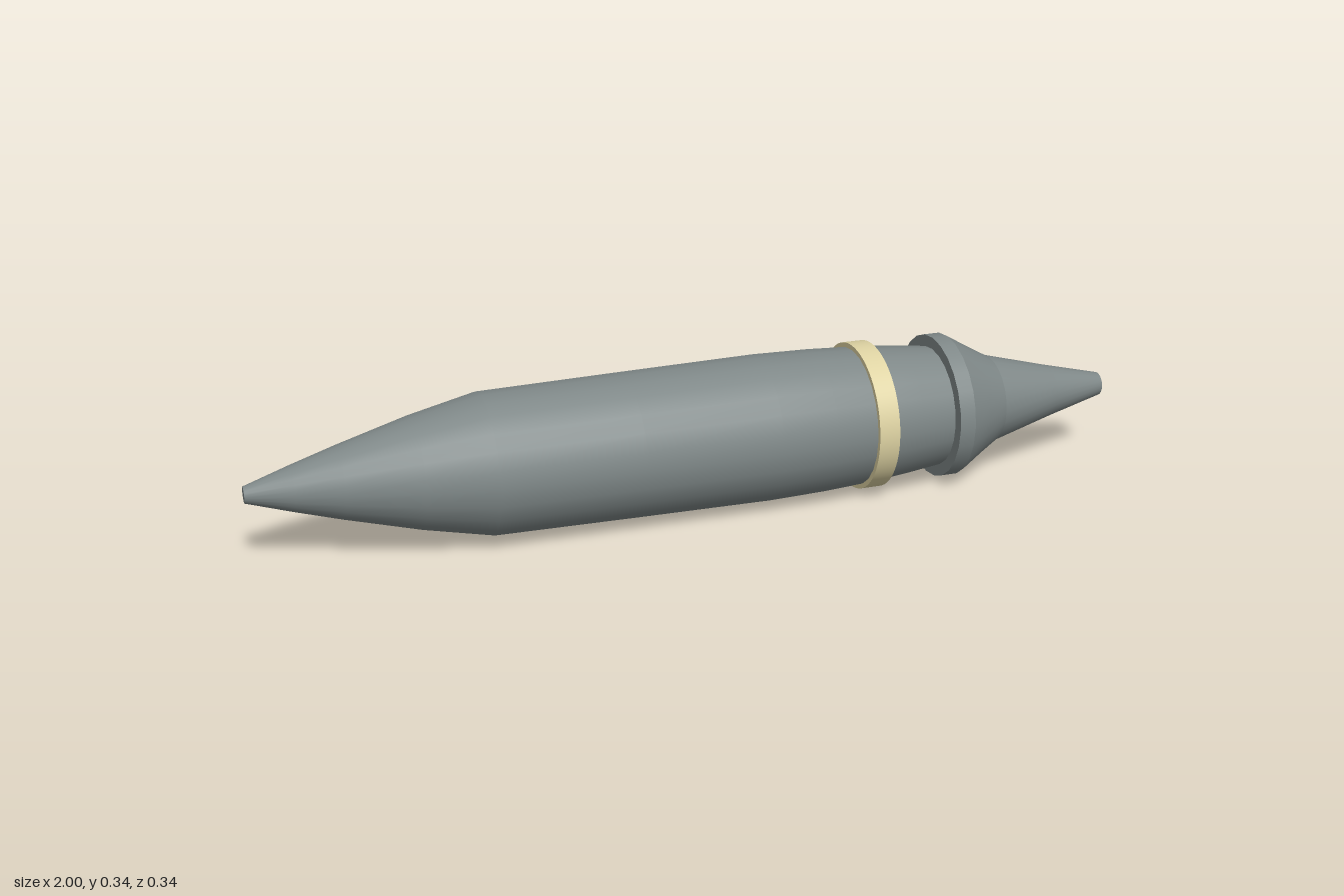
import * as THREE from 'three';

const AXIS_Y = 0.17;

export function createModel() {
  const steel = new THREE.MeshStandardMaterial({ color: 0x7f8888 });
  steel.name = 'steel grey';
  const cream = new THREE.MeshStandardMaterial({ color: 0xddd2a2 });
  cream.name = 'cream band';

  const model = new THREE.Group();
  model.name = 'shell';
  model.position.y = AXIS_Y;

  // Turned part along x; each run of [x, radius] is smooth, edges between runs stay sharp
  function turned(name, material, sides, runs) {
    const part = new THREE.Group();
    part.name = name;
    runs.forEach((run, i) => {
      const points = run.map(([x, r]) => new THREE.Vector2(r, x));
      const mesh = new THREE.Mesh(new THREE.LatheGeometry(points, sides), material);
      mesh.name = `${name}Surface${i + 1}`;
      mesh.rotation.z = -Math.PI / 2;
      part.add(mesh);
    });
    model.add(part);
  }

  // Pointed nose with a small flat tip
  turned('nose', steel, 24, [
    [[-1, 0], [-1, 0.018]],
    [[-1, 0.018], [-0.9, 0.05], [-0.8, 0.08], [-0.64, 0.124], [-0.49, 0.157]],
  ]);

  // Long body, gently swelling then narrowing toward the collar
  turned('body', steel, 24, [
    [[-0.49, 0.157], [-0.17, 0.162], [0.14, 0.166], [0.27, 0.163],
      [0.4, 0.156], [0.48, 0.148], [0.565, 0.138]],
  ]);

  // Band standing slightly proud of the body
  turned('band', cream, 72, [
    [[0.365, 0.15], [0.365, 0.168]],
    [[0.365, 0.168], [0.413, 0.168]],
    [[0.413, 0.168], [0.413, 0.15]],
  ]);

  // Flared collar: rear disc, rim and slope
  turned('collar', steel, 24, [
    [[0.563, 0], [0.563, 0.165]],
    [[0.563, 0.165], [0.6, 0.165]],
    [[0.6, 0.165], [0.655, 0.132], [0.71, 0.101]],
  ]);

  // Tapered tail in two steps with a flat end
  turned('tail', steel, 24, [
    [[0.71, 0.101], [0.865, 0.06]],
    [[0.865, 0.06], [1, 0.027]],
    [[1, 0.027], [1, 0]],
  ]);

  const root = new THREE.Group();
  root.add(model);
  return root;
}
